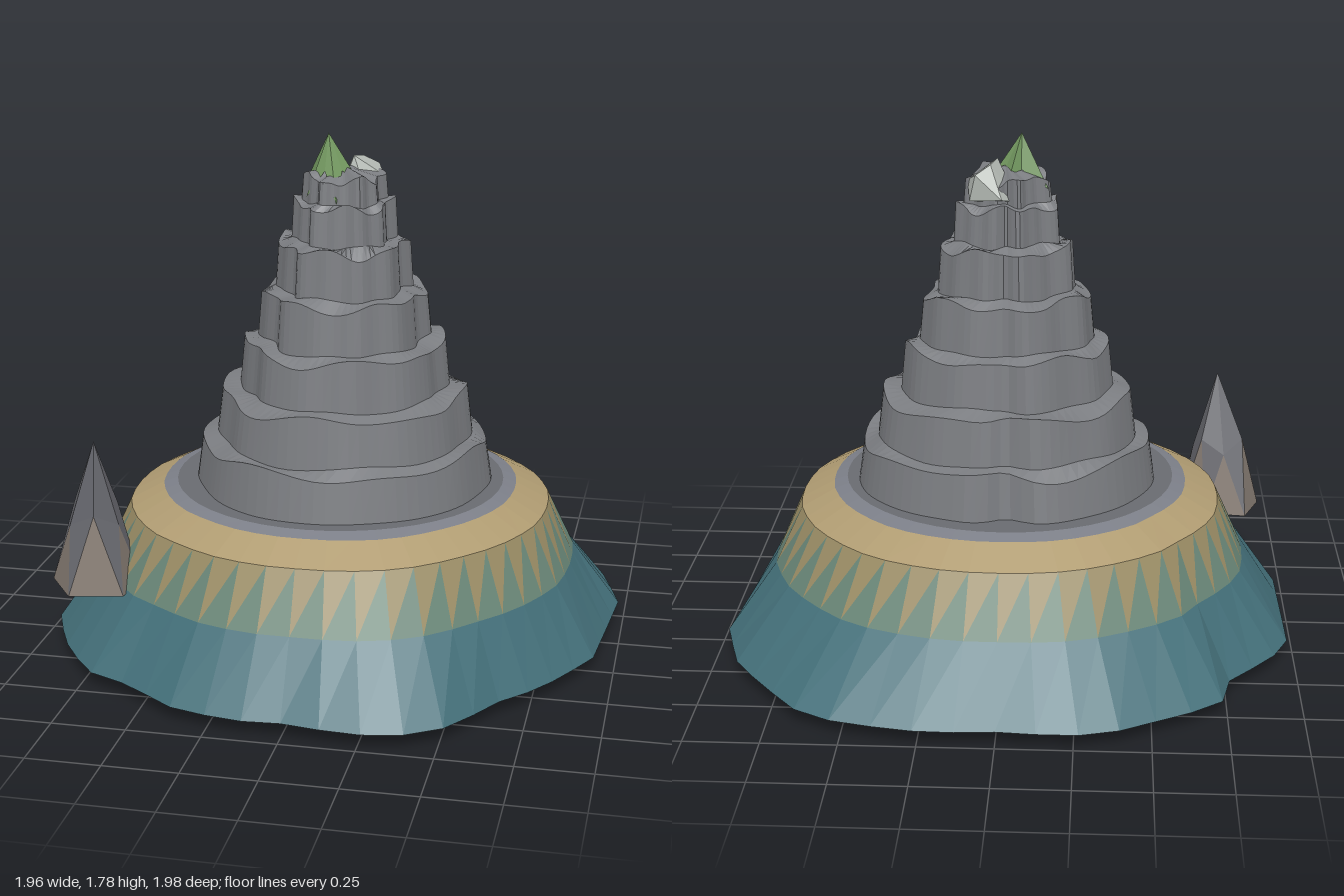
import * as THREE from 'three';
import { ConvexGeometry } from 'three/addons/geometries/ConvexGeometry.js';

const TAU = Math.PI * 2;
const mat = (color) => new THREE.MeshStandardMaterial({ color, flatShading: true, side: THREE.DoubleSide });

// Ring of n points; radius and height may be functions of the angle
function ring(n, radius, height, cx = 0, cz = 0) {
  return Array.from({ length: n }, (_, i) => {
    const a = (i / n) * TAU;
    const r = typeof radius === 'function' ? radius(a) : radius;
    const y = typeof height === 'function' ? height(a) : height;
    return [cx + r * Math.cos(a), y, cz + r * Math.sin(a)];
  });
}

// Triangles between successive rings; half picks only lower (0) or upper (1) triangles
function skin(name, color, rings, half = -1) {
  const p = [];
  for (let k = 0; k + 1 < rings.length; k++) {
    const lo = rings[k], hi = rings[k + 1], n = lo.length;
    for (let i = 0; i < n; i++) {
      const j = (i + 1) % n;
      if (half !== 1) p.push(...lo[i], ...hi[i], ...lo[j]);
      if (half !== 0) p.push(...lo[j], ...hi[i], ...hi[j]);
    }
  }
  const g = new THREE.BufferGeometry();
  g.setAttribute('position', new THREE.Float32BufferAttribute(p, 3));
  g.computeVertexNormals();
  const m = new THREE.Mesh(g, mat(color));
  m.name = name;
  return m;
}

// Shoreline corners (x, z)
const shore = [
  [-0.98, -0.26], [-0.92, -0.4], [-0.76, -0.59], [-0.73, -0.76], [-0.37, -0.97], [-0.23, -1],
  [0.04, -0.98], [0.18, -1], [0.34, -0.98], [0.62, -0.91], [0.77, -0.72], [0.9, -0.54],
  [0.98, -0.27], [0.96, -0.05], [0.93, 0.26], [0.78, 0.53], [0.63, 0.69], [0.56, 0.84],
  [0.455, 0.94], [0.32, 0.98], [0.18, 0.99], [0.04, 0.95], [-0.09, 0.97], [-0.35, 0.93],
  [-0.57, 0.77], [-0.7, 0.72], [-0.84, 0.55], [-0.97, 0.28],
];

// Distance from the centre to the shoreline polygon along an angle
function shoreRadius(a) {
  const dx = Math.cos(a), dz = Math.sin(a);
  for (let i = 0; i < shore.length; i++) {
    const [x1, z1] = shore[i], [x2, z2] = shore[(i + 1) % shore.length];
    const c1 = dx * z1 - dz * x1, c2 = dx * z2 - dz * x2;
    if (c1 <= 0 && c2 > 0) {
      const t = c1 / (c1 - c2);
      return Math.hypot(x1 + (x2 - x1) * t, z1 + (z2 - z1) * t);
    }
  }
  return 0.97;
}

function addIsland(group) {
  const N = 48;
  const follow = (r, k) => (a) => r + k * (shoreRadius(a) - 0.97);
  const foot = ring(N, shoreRadius, 0.05);
  const coast = ring(N, follow(0.825, 0.3), 0.29);
  const brow = ring(N, follow(0.735, 0.15), 0.49);
  const beach = ring(N, follow(0.62, 0.1), 0.55);
  const rim = ring(N, 0.575, 0.565);
  group.add(
    skin('underside', 0x3d626b, [ring(N, 0, 0), foot]),
    skin('waterSlope', 0x44707a, [foot, coast]),
    skin('shoreTeeth', 0x6a8778, [coast, brow], 0),
    skin('sandTeeth', 0x9c8e66, [coast, brow], 1),
    skin('sandShelf', 0xb09c72, [brow, beach]),
    skin('gravelRim', 0x7c7f88, [beach, rim]),
    skin('plateau', 0x696b70, [rim, ring(N, 0.45, 0.565)]),
  );
}

// Lobed rock outline, with a narrow cleft at the back
function lobes(a, k) {
  const broad = 0.45 * Math.cos(3 * a + 1.2 + k * 0.3) + 0.5 * Math.cos(5 * a + 2.6);
  const fine = 0.4 * Math.cos(8 * a + 0.7 + k * 0.5) + 0.3 * Math.cos(13 * a + k);
  const d = Math.atan2(Math.sin(a + 1.62), Math.cos(a + 1.62));
  return (0.022 + 0.018 * k) * (broad + fine * (0.3 + 0.12 * k)) - 0.11 * Math.exp(-d * d * 45);
}

function addMountain(group) {
  const N = 80;
  // Each terrace: radius, base height, lip height
  const tiers = [
    [0.515, 0.55, 0.715], [0.44, 0.73, 0.885], [0.355, 0.9, 1.06], [0.287, 1.075, 1.235],
    [0.222, 1.25, 1.405], [0.168, 1.42, 1.545], [0.135, 1.555, 1.635],
  ];
  const rings = [];
  tiers.forEach(([r, y0, y1], k) => {
    const outline = (s) => (a) => r * s * (1 + lobes(a, k));
    const wave = (a) => 0.012 * Math.sin(4 * a + k * 1.7) + 0.01 * Math.sin(7 * a + k * 2.3);
    const base = (a) => y0 + (k ? wave(a + 0.4 * k) * 0.4 : 0);
    const lip = (a) => y1 + wave(a);
    rings.push(ring(N, outline(1.01), base, 0.012), ring(N, outline(0.965), lip, 0.012));
  });
  rings.push(ring(N, 0, 1.67, 0.012));
  group.add(skin('terracedRock', 0x7b7d81, rings));
}

function addSummit(group) {
  // Pale boulder beside the spire
  const boulder = [
    [0.04, 1.7, -0.03], [0.06, 1.69, -0.1], [0.11, 1.66, -0.13], [0.14, 1.63, -0.06],
    [0.13, 1.57, -0.12], [0.02, 1.58, -0.15], [-0.03, 1.56, -0.08], [0.1, 1.56, 0.02], [0, 1.57, 0],
  ].map((v) => new THREE.Vector3(...v));
  const pale = new THREE.Mesh(new ConvexGeometry(boulder), mat(0xb4bab4));
  pale.name = 'paleBoulder';

  // Star-footed grassy spire
  const n = 10;
  const reach = (a) => (Math.round((a / TAU) * n) % 2 ? 0.05 : 0.115 + 0.02 * Math.sin(2 * a));
  const drop = (a) => (Math.round((a / TAU) * n) % 2 ? 1.66 : 1.585 - 0.025 * Math.sin(a));
  const foot = ring(n, reach, drop, -0.025, 0.02);
  const apex = ring(n, 0, 1.78, -0.04, 0.005);
  group.add(pale, skin('grassySpire', 0x72975f, [foot, apex]));
}

function addSeaStack(group) {
  const corners = [[-0.62, 0.41], [-0.63, 0.58], [-0.81, 0.62], [-0.915, 0.47], [-0.86, 0.32], [-0.71, 0.34]];
  const cx = -0.76, cz = 0.47;
  const foot = corners.map(([x, z]) => [x, 0.28, z]);
  const waist = corners.map(([x, z], i) => {
    const [x2, z2] = corners[(i + 1) % 6];
    return [cx + ((x + x2) / 2 - cx) * 0.68, 0.5 + 0.05 * (i % 2), cz + ((z + z2) / 2 - cz) * 0.68];
  });
  const stack = new THREE.Group();
  stack.name = 'seaStack';
  stack.add(
    skin('stackBase', 0x7b7067, [corners.map(() => [cx, 0.28, cz]), foot]),
    skin('stackFoot', 0x857b72, [foot, waist], 0),
    skin('stackSides', 0x66676d, [foot, waist], 1),
    skin('stackPeak', 0x66676d, [waist, corners.map(() => [-0.75, 0.79, 0.48])]),
  );
  group.add(stack);
}

export function createModel() {
  const group = new THREE.Group();
  group.name = 'mountainIsland';
  addIsland(group);
  addMountain(group);
  addSummit(group);
  addSeaStack(group);
  return group;
}
